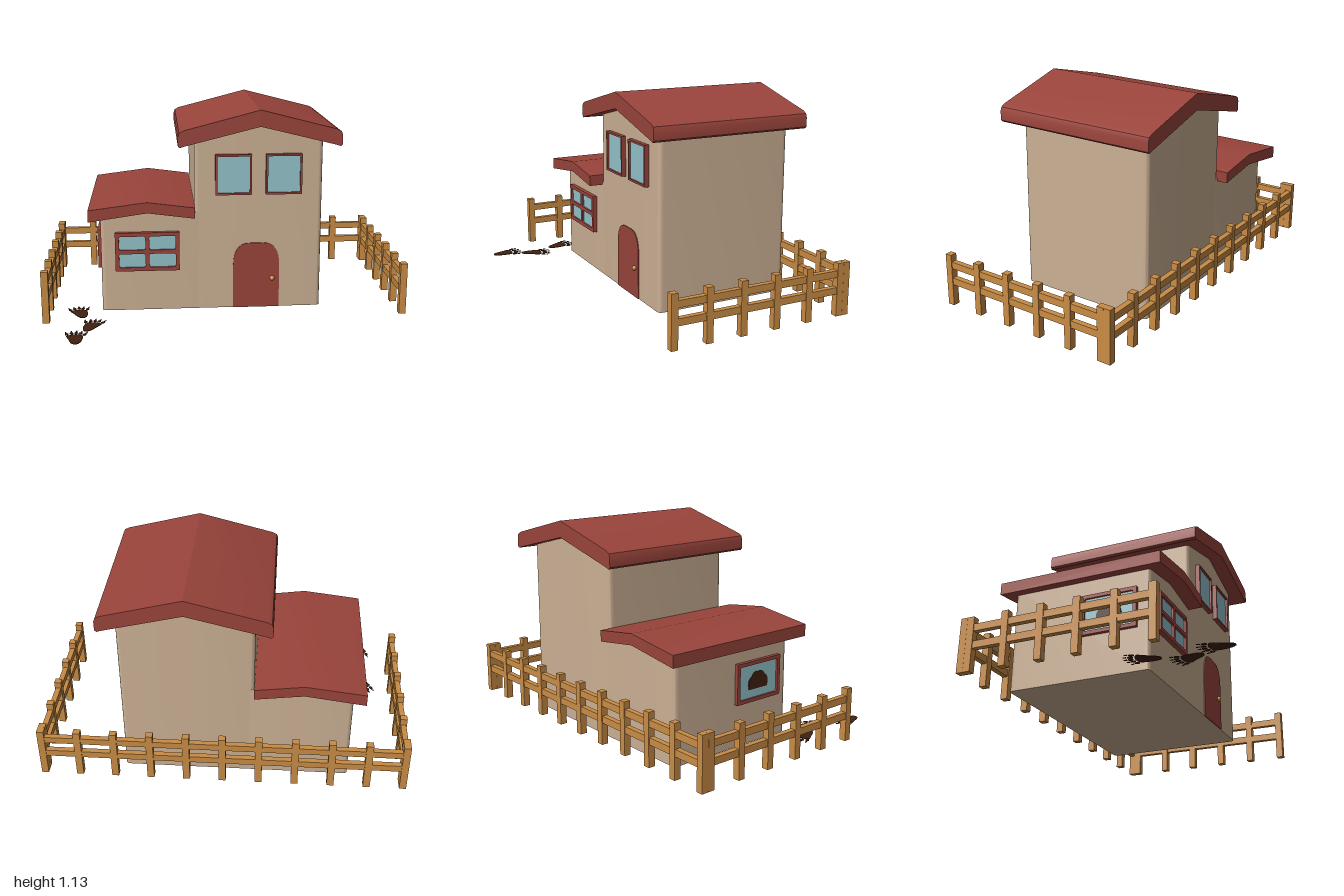
import * as THREE from 'three';
import { toCreasedNormals } from 'three/addons/utils/BufferGeometryUtils.js';

const material = (name, color, side = THREE.FrontSide) => {
  const m = new THREE.MeshStandardMaterial({ color, side });
  m.name = name;
  return m;
};

function roundedRect(x0, y0, x1, y1, r, Type = THREE.Shape) {
  const s = new Type();
  s.moveTo(x0 + r, y0);
  s.lineTo(x1 - r, y0);
  s.quadraticCurveTo(x1, y0, x1, y0 + r);
  s.lineTo(x1, y1 - r);
  s.quadraticCurveTo(x1, y1, x1 - r, y1);
  s.lineTo(x0 + r, y1);
  s.quadraticCurveTo(x0, y1, x0, y1 - r);
  s.lineTo(x0, y0 + r);
  s.quadraticCurveTo(x0, y0, x0 + r, y0);
  return s;
}

const extrude = (shape, depth) =>
  new THREE.ExtrudeGeometry(shape, { depth, bevelEnabled: false, curveSegments: 8 });

export function createModel() {
  const model = new THREE.Group();
  model.name = 'house';
  const plaster = material('plaster', 0xcbb094);
  const red = material('redPaint', 0x99443b);
  const glass = material('glass', 0x93c3cb);
  const wood = material('fenceWood', 0xc98c45);
  const brown = material('darkBrown', 0x41200f, THREE.DoubleSide);

  const add = (name, geometry, mat, parent = model) => {
    const mesh = new THREE.Mesh(geometry, mat);
    mesh.name = name;
    parent.add(mesh);
    return mesh;
  };
  const addBox = (name, size, pos, mat, parent) =>
    add(name, new THREE.BoxGeometry(...size), mat, parent).position.set(...pos);

  // Walls: rounded floor plan raised to a gable that tucks into the roof
  function walls(name, x0, x1, ridgeX, ridgeY, slope) {
    const r = 0.025, z0 = -0.58, z1 = 0.2;
    const s = new THREE.Shape();
    s.moveTo(x0 + r, -z1);
    s.lineTo(ridgeX, -z1);
    s.lineTo(x1 - r, -z1);
    s.quadraticCurveTo(x1, -z1, x1, -z1 + r);
    s.lineTo(x1, -z0 - r);
    s.quadraticCurveTo(x1, -z0, x1 - r, -z0);
    s.lineTo(ridgeX, -z0);
    s.lineTo(x0 + r, -z0);
    s.quadraticCurveTo(x0, -z0, x0, -z0 - r);
    s.lineTo(x0, -z1 + r);
    s.quadraticCurveTo(x0, -z1, x0 + r, -z1);
    const g = extrude(s, 1).rotateX(-Math.PI / 2);
    const p = g.attributes.position;
    for (let i = 0; i < p.count; i++) {
      if (p.getY(i) > 0.5) p.setY(i, ridgeY - slope * Math.abs(p.getX(i) - ridgeX));
    }
    add(name, toCreasedNormals(g, 0.6), plaster);
  }
  walls('tallWalls', -0.165, 0.545, 0.19, 1.07, 0.247);
  walls('lowWalls', -0.685, -0.12, -0.425, 0.6, 0.14);

  // Roofs: gable profiles running front to back
  function roof(name, points) {
    const s = new THREE.Shape(points.map(([x, y]) => new THREE.Vector2(x, y)));
    const g = extrude(s, 0.92).translate(0, 0, -0.64);
    add(name, toCreasedNormals(g, 0.5), red);
  }
  roof('tallRoof', [
    [-0.245, 0.935], [-0.22, 0.943], [0.19, 1.045], [0.6, 0.943], [0.625, 0.935], [0.635, 0.945],
    [0.635, 0.995], [0.628, 1.015], [0.605, 1.028], [0.19, 1.135],
    [-0.225, 1.028], [-0.248, 1.015], [-0.255, 0.995], [-0.255, 0.945],
  ]);
  roof('lowRoof', [
    [-0.745, 0.535], [-0.425, 0.58], [-0.165, 0.545],
    [-0.165, 0.605], [-0.425, 0.64], [-0.745, 0.6],
  ]);

  // Windows: frame with pane openings over a sheet of glass
  function windowUnit(name, w, h, border, bar, cols, rows, r) {
    const group = new THREE.Group();
    group.name = name;
    model.add(group);
    const frame = roundedRect(-w / 2, -h / 2, w / 2, h / 2, 0.003);
    const pw = (w - 2 * border - (cols - 1) * bar) / cols;
    const ph = (h - 2 * border - (rows - 1) * bar) / rows;
    for (let i = 0; i < cols; i++) for (let j = 0; j < rows; j++) {
      const x = -w / 2 + border + i * (pw + bar);
      const y = -h / 2 + border + j * (ph + bar);
      frame.holes.push(roundedRect(x, y, x + pw, y + ph, r, THREE.Path));
    }
    add('windowFrame', extrude(frame, 0.03).translate(0, 0, -0.005), red, group);
    addBox('windowGlass', [w - 0.01, h - 0.01, 0.008], [0, 0, 0.01], glass, group);
    return group;
  }
  for (const x of [0.05, 0.328]) {
    windowUnit('upperWindow', 0.2, 0.225, 0.011, 0, 1, 1, 0.006).position.set(x, 0.772, 0.2);
  }
  windowUnit('lowerWindow', 0.355, 0.22, 0.021, 0.022, 2, 2, 0.012).position.set(-0.428, 0.345, 0.2);
  const sideWindow = windowUnit('sideWindow', 0.31, 0.22, 0.02, 0, 1, 1, 0.01);
  sideWindow.position.set(-0.68, 0.342, -0.02);
  sideWindow.rotation.y = -Math.PI / 2;

  // Dark rounded silhouette on the side window
  const blob = new THREE.Shape();
  blob.moveTo(-0.065, -0.045);
  blob.lineTo(0.065, -0.045);
  blob.quadraticCurveTo(0.08, 0.01, 0.045, 0.025);
  blob.quadraticCurveTo(0.03, 0.055, 0, 0.045);
  blob.quadraticCurveTo(-0.03, 0.055, -0.045, 0.025);
  blob.quadraticCurveTo(-0.08, 0.01, -0.065, -0.045);
  add('windowSilhouette', extrude(blob, 0.004).translate(0, 0, 0.0145), brown, sideWindow);

  // Arched door and knob
  const door = new THREE.Shape();
  door.moveTo(0.05, 0);
  door.lineTo(0.31, 0);
  door.lineTo(0.31, 0.25);
  door.bezierCurveTo(0.31, 0.33, 0.28, 0.378, 0.22, 0.378);
  door.lineTo(0.14, 0.378);
  door.bezierCurveTo(0.08, 0.378, 0.05, 0.33, 0.05, 0.25);
  add('door', extrude(door, 0.008).translate(0, 0, 0.197), red);
  add('doorKnob', new THREE.SphereGeometry(0.014, 14, 10), wood).position.set(0.27, 0.17, 0.208);

  // Fence: two rails and square posts along three sides
  const fence = new THREE.Group();
  fence.name = 'fence';
  model.add(fence);
  const post = (x, z) => addBox('fencePost', [0.038, 0.29, 0.038], [x, 0.145, z], wood, fence);
  for (let i = 0; i < 11; i++) post(-0.981 + i * 0.1962, -0.661);
  for (const side of [-1, 1]) {
    for (let i = 0; i < 6; i++) post(side * 0.981, 0.355 - i * 0.1955);
  }
  for (const y of [0.14, 0.232]) {
    addBox('backRail', [1.96, 0.038, 0.03], [0, y, -0.661], wood, fence);
    for (const side of [-1, 1]) {
      addBox('sideRail', [0.03, 0.038, 1.0], [side * 0.981, y, -0.15], wood, fence);
    }
  }

  // Paw prints: pad, five toes and claws lying on the ground
  function pawPrint(x, z, turn, mirror) {
    const paw = new THREE.Group();
    paw.name = 'pawPrint';
    const pad = new THREE.Shape();
    pad.moveTo(-0.046 * mirror, 0.01);
    pad.bezierCurveTo(-0.04 * mirror, 0.04, 0.035 * mirror, 0.04, 0.042 * mirror, 0.015);
    pad.bezierCurveTo(0.05 * mirror, -0.02, 0.045 * mirror, -0.09, 0.02 * mirror, -0.09);
    pad.bezierCurveTo(-0.015 * mirror, -0.092, -0.015 * mirror, -0.04, -0.046 * mirror, 0.01);
    const flat = (name, shape) => add(name, extrude(shape, 0.003).rotateX(-Math.PI / 2), brown, paw);
    flat('pawPad', pad);
    for (let i = 0; i < 5; i++) {
      const tx = (i - 2) * 0.0235;
      const ty = 0.056 - 0.0045 * (i - 2) ** 2;
      const toe = new THREE.Shape();
      toe.absellipse(tx, ty, 0.0095, 0.014, 0, Math.PI * 2, false, -tx * 5);
      flat('pawToe', toe);
      const claw = new THREE.Shape();
      claw.moveTo(tx * 1.15 - 0.005, ty + 0.018);
      claw.lineTo(tx * 1.15 + 0.005, ty + 0.018);
      claw.lineTo(tx * 1.25, ty + 0.035);
      flat('pawClaw', claw);
    }
    paw.position.set(x, 0, z);
    paw.rotation.y = turn;
    model.add(paw);
  }
  pawPrint(-0.814, 0.222, 0.12, 1);
  pawPrint(-0.727, 0.42, -0.15, -1);
  pawPrint(-0.812, 0.585, -0.08, 1);

  return model;
}
